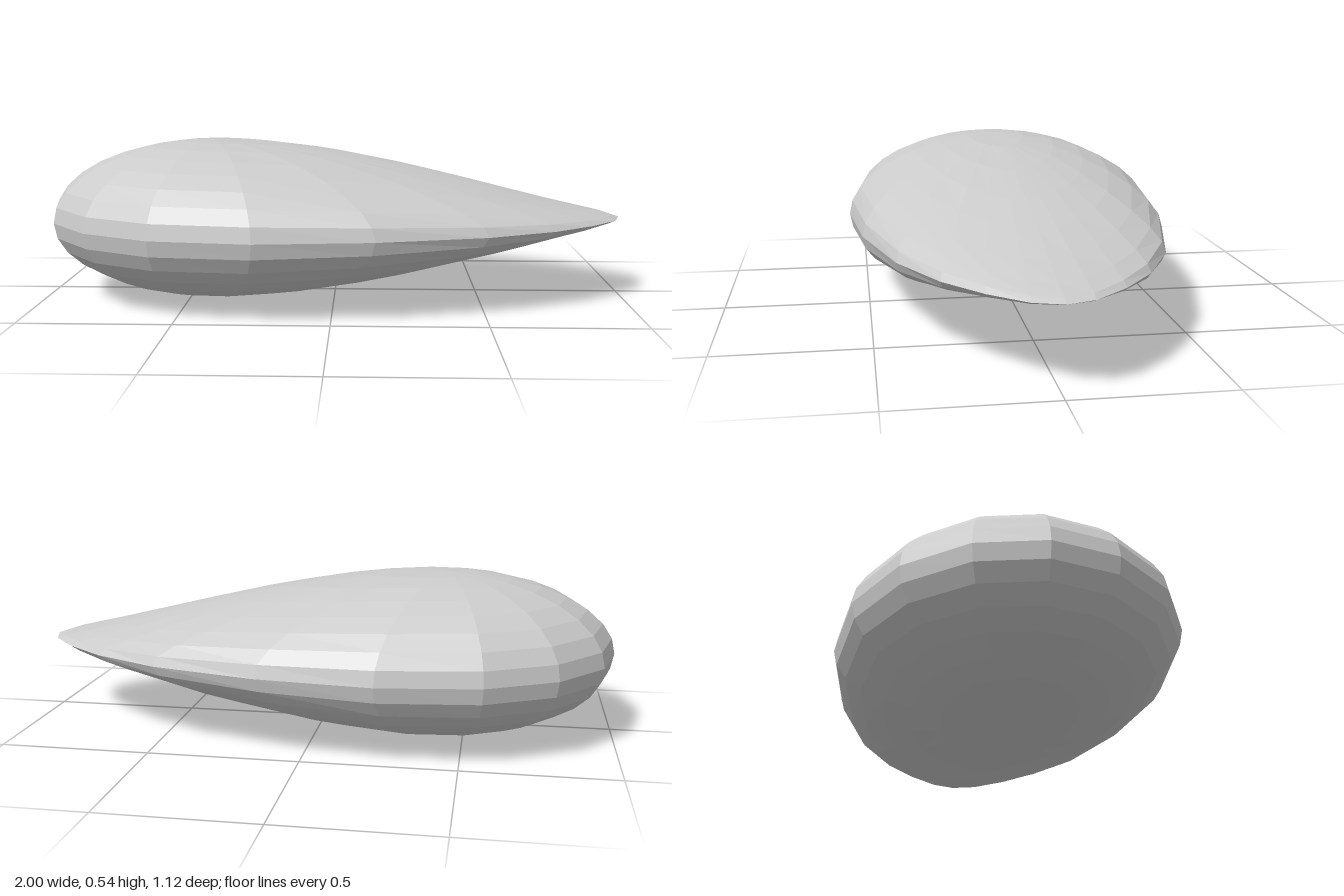
import * as THREE from 'three';

const SIDES = 20, ROWS = 16;
const HALF_HEIGHT = 0.27, CENTRE_X = -0.43;

// Half of the plan outline, from blunt end to pointed end: [x, z]
const OUTLINE = [
  [-1, 0], [-0.95, 0.21], [-0.8, 0.395], [-0.57, 0.517], [-0.24, 0.56], [0.14, 0.52],
  [0.5, 0.425], [0.73, 0.31], [0.87, 0.2], [0.97, 0.09], [1, 0],
];

// Thickness falls away towards the pointed end
function taper(x) {
  const t = Math.max(0, (x - CENTRE_X) / (1 - CENTRE_X));
  return 1 - 0.85 * Math.pow(t, 1.7);
}

// A sphere whose rings follow the outline and shrink towards the two poles
function pebbleGeometry() {
  const geometry = new THREE.SphereGeometry(1, SIDES, ROWS);
  const pos = geometry.attributes.position;
  for (let i = 0; i < pos.count; i++) {
    const column = i % (SIDES + 1);
    const row = Math.floor(i / (SIDES + 1));
    const mirrored = column > SIDES / 2;
    const [ox, oz] = OUTLINE[mirrored ? SIDES - column : column];
    const polar = (row / ROWS) * Math.PI;
    const spread = Math.sin(polar);
    const x = CENTRE_X + (ox - CENTRE_X) * spread;
    const y = HALF_HEIGHT * (1 + Math.cos(polar) * taper(x));
    pos.setXYZ(i, x, y, (mirrored ? -oz : oz) * spread);
  }
  geometry.computeVertexNormals();
  return geometry;
}

export function createModel() {
  const group = new THREE.Group();
  const body = new THREE.Mesh(
    pebbleGeometry(),
    new THREE.MeshStandardMaterial({ color: 0xcccccc, flatShading: true }),
  );
  body.name = 'taperedBody';
  group.add(body);
  return group;
}
